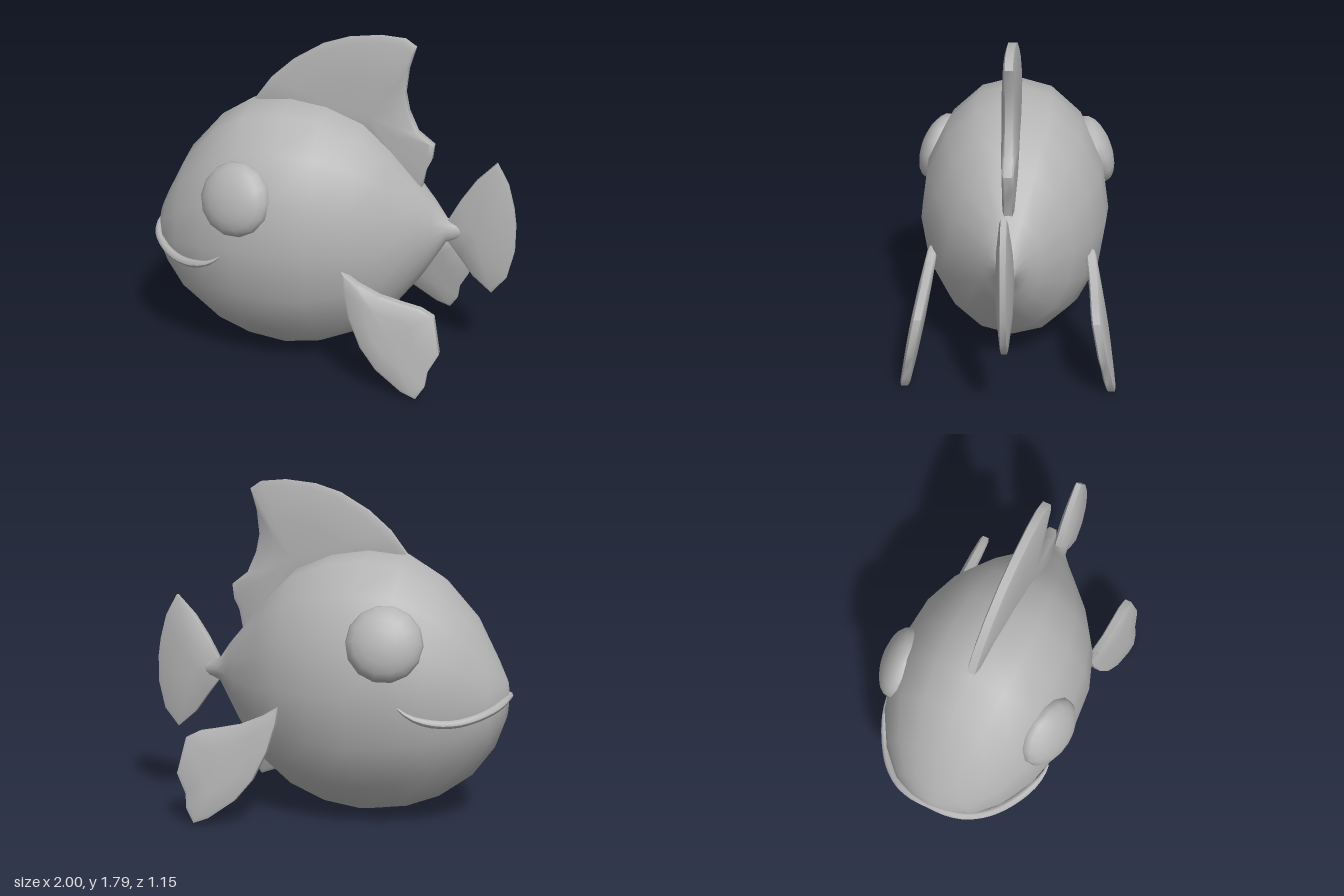
import * as THREE from 'three';
import { toCreasedNormals } from 'three/addons/utils/BufferGeometryUtils.js';

const skin = new THREE.MeshStandardMaterial({ color: 0xb4b4b4 });
skin.name = 'grey skin';

function part(name, geometry) {
  const mesh = new THREE.Mesh(geometry, skin);
  mesh.name = name;
  return mesh;
}

function build(positions, index) {
  const g = new THREE.BufferGeometry();
  g.setAttribute('position', new THREE.Float32BufferAttribute(positions, 3));
  g.setIndex(index);
  g.computeVertexNormals();
  return g;
}

// Elliptical cross-sections along x: [x, centre y, half height, half width]
const SECTIONS = [
  [-0.99, 0.66, 0.001, 0.001], [-0.975, 0.65, 0.11, 0.11], [-0.92, 0.63, 0.24, 0.23],
  [-0.8, 0.665, 0.435, 0.35], [-0.62, 0.7, 0.6, 0.455], [-0.44, 0.72, 0.69, 0.505],
  [-0.23, 0.718, 0.718, 0.525], [-0.03, 0.72, 0.69, 0.51], [0.17, 0.72, 0.61, 0.44],
  [0.33, 0.705, 0.475, 0.335], [0.5, 0.715, 0.26, 0.175], [0.56, 0.73, 0.175, 0.115],
  [0.63, 0.74, 0.065, 0.055], [0.7, 0.745, 0.05, 0.045], [0.8, 0.75, 0.001, 0.001],
];

function bodyGeometry() {
  const n = 16, pos = [], idx = [];
  SECTIONS.forEach(([x, cy, ry, rz], s) => {
    for (let i = 0; i < n; i++) {
      const a = (i / n) * Math.PI * 2;
      pos.push(x, cy + ry * Math.cos(a), rz * Math.sin(a));
      if (s === 0) continue;
      const j = (i + 1) % n, p = (s - 1) * n, q = s * n;
      idx.push(p + i, p + j, q + i, p + j, q + j, q + i);
    }
  });
  return build(pos, idx);
}

// Padded fin: clockwise outline, thickest at its centre, with a blunt rim
function finGeometry(outline, [cx, cy], rim, mid, zAt = () => 0) {
  const n = outline.length, pos = [], idx = [];
  const rings = [[0.5, rim + (mid - rim) * 0.75], [0.93, rim * 1.1], [1, rim * 0.75]];
  for (const side of [1, -1]) {
    const base = pos.length / 3;
    pos.push(cx, cy, zAt(cx, cy) + side * mid);
    for (const [t, h] of rings) {
      for (const [px, py] of outline) {
        const x = cx + (px - cx) * t, y = cy + (py - cy) * t;
        pos.push(x, y, zAt(x, y) + side * h);
      }
    }
    const tri = (a, b, c) => (side > 0 ? idx.push(a, b, c) : idx.push(a, c, b));
    for (let i = 0; i < n; i++) {
      const j = (i + 1) % n;
      tri(base, base + 1 + j, base + 1 + i);
      for (let r = 0; r < rings.length - 1; r++) {
        const p = base + 1 + r * n, q = p + n;
        tri(p + i, p + j, q + i);
        tri(p + j, q + j, q + i);
      }
    }
  }
  // rim wall
  const f = 1 + (rings.length - 1) * n, b = f + 1 + rings.length * n;
  for (let i = 0; i < n; i++) {
    const j = (i + 1) % n;
    idx.push(f + i, f + j, b + i, f + j, b + j, b + i);
  }
  return toCreasedNormals(build(pos, idx), 0.8);
}

const DORSAL = [
  [-0.43, 1.41], [-0.34, 1.53], [-0.22, 1.635], [-0.06, 1.73], [0.08, 1.775], [0.25, 1.795],
  [0.38, 1.785], [0.44, 1.745], [0.405, 1.63], [0.39, 1.5], [0.41, 1.4], [0.46, 1.29],
  [0.55, 1.22], [0.54, 1.14], [0.51, 1.08], [0.485, 0.95], [0.4, 0.98], [0.25, 1.15],
  [0, 1.25], [-0.3, 1.31],
];
const TAIL = [
  [0.63, 0.79], [0.7, 0.92], [0.78, 1.04], [0.885, 1.148], [0.95, 1.03], [0.985, 0.9],
  [1, 0.8], [1, 0.65], [0.965, 0.5], [0.885, 0.4], [0.78, 0.49], [0.7, 0.6], [0.63, 0.69],
];
const PECTORAL = [
  [0.15, 0.635], [0.24, 0.58], [0.36, 0.53], [0.5, 0.5], [0.58, 0.485], [0.65, 0.45],
  [0.69, 0.26], [0.635, 0.16], [0.625, 0.08], [0.58, 0.01], [0.5, 0.04], [0.36, 0.14],
  [0.27, 0.25], [0.2, 0.4], [0.16, 0.55],
];

// Smile wrapping around the nose, tapered at both ends
function mouthGeometry() {
  const half = [
    [-0.5, 0.67, 0.485], [-0.56, 0.627, 0.478], [-0.66, 0.593, 0.44], [-0.77, 0.585, 0.38],
    [-0.87, 0.605, 0.302], [-0.945, 0.635, 0.2], [-0.975, 0.655, 0.1],
  ];
  const pts = [...half, [-0.978, 0.66, 0], ...half.map(([x, y, z]) => [x, y, -z]).reverse()];
  const curve = new THREE.CatmullRomCurve3(pts.map((p) => new THREE.Vector3(...p)));
  const steps = 32, sides = 8;
  const g = new THREE.TubeGeometry(curve, steps, 0.022, sides);
  const p = g.attributes.position, v = new THREE.Vector3();
  for (let k = 0; k < p.count; k++) {
    const u = Math.floor(k / (sides + 1)) / steps;
    const s = Math.min(1, 0.25 + 7 * Math.min(u, 1 - u));
    const c = curve.getPointAt(u);
    v.fromBufferAttribute(p, k).sub(c).multiplyScalar(s).add(c);
    p.setXYZ(k, v.x, v.y, v.z);
  }
  g.computeVertexNormals();
  return g;
}

export function createModel() {
  const fish = new THREE.Group();
  fish.name = 'fish';
  fish.add(
    part('body', bodyGeometry()),
    part('dorsalFin', finGeometry(DORSAL, [0.2, 1.36], 0.028, 0.048)),
    part('tailFin', finGeometry(TAIL, [0.78, 0.75], 0.02, 0.047)),
    part('mouth', mouthGeometry()),
  );

  for (const side of [1, -1]) {
    const label = side > 0 ? 'left' : 'right';

    // Side fin leaning outwards towards its lower tip
    const lean = (x, y) => side * (0.43 + (0.62 - y) * 0.2);
    fish.add(part(label + 'SideFin', finGeometry(PECTORAL, [0.42, 0.34], 0.025, 0.038, lean)));

    // Flattened eye set square to the cheek
    const eye = part(label + 'Eye', new THREE.SphereGeometry(1, 14, 10).rotateX(Math.PI / 2));
    eye.scale.set(0.2, 0.2, 0.1);
    eye.position.set(-0.418, 0.99, side * 0.437);
    const normal = new THREE.Vector3(-0.2, 0.3, side * 0.93).normalize();
    eye.quaternion.setFromUnitVectors(new THREE.Vector3(0, 0, side), normal);
    fish.add(eye);
  }
  return fish;
}
